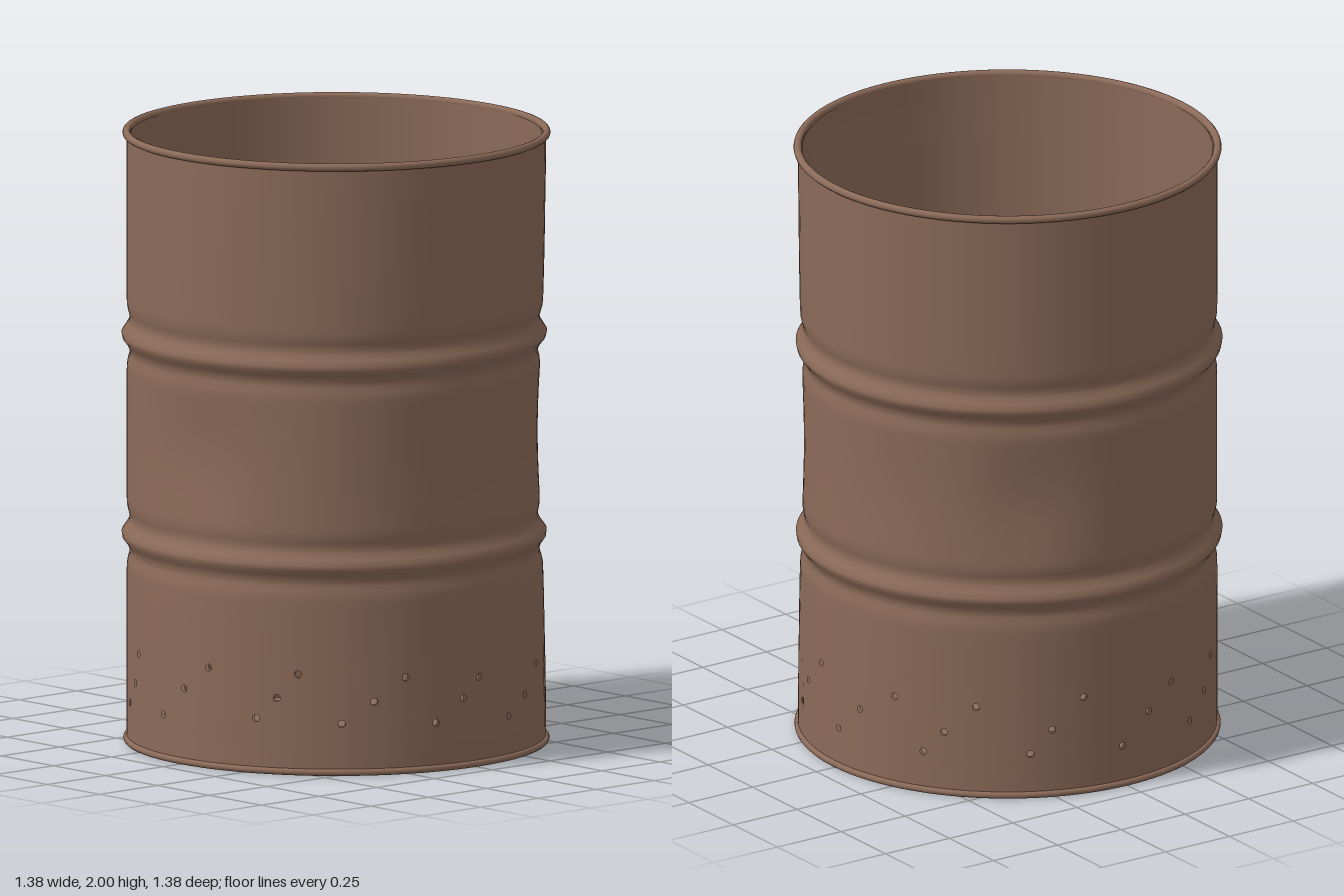
import * as THREE from 'three';
import { mergeGeometries, mergeVertices } from 'three/addons/utils/BufferGeometryUtils.js';

const COLS = 120, R = 0.675, BAND = [0.1, 0.37], TOP = 1.985;

// Vent holes: angle from the front (towards +x), height
const HOLES = [
  [-1.53, 0.25], [-1.37, 0.33], [-1.11, 0.18], [-1.0, 0.25], [-0.92, 0.33], [-0.73, 0.17],
  [-0.57, 0.24], [-0.4, 0.315], [-0.25, 0.16], [-0.1, 0.23], [0.04, 0.29], [0.24, 0.145],
  [0.38, 0.2], [0.55, 0.285], [0.7, 0.175], [0.85, 0.245], [1.02, 0.3], [1.17, 0.14],
  [1.3, 0.235], [1.42, 0.33], [1.61, 0.14], [1.77, 0.235], [1.94, 0.31], [2.1, 0.14],
  [2.24, 0.215], [2.38, 0.31], [2.65, 0.15], [2.77, 0.23], [2.88, 0.33], [3.09, 0.14],
  [-3.03, 0.235], [-2.87, 0.31], [-2.7, 0.14], [-2.56, 0.21], [-2.41, 0.305],
  [-2.14, 0.145], [-2.02, 0.22], [-1.94, 0.32], [-1.68, 0.15],
];

// Dents: angle, height, angular spread, vertical spread, depth
const DENTS = [
  [0.2, 1.0, 0.5, 0.42, 0.034],
  [0.75, 1.0, 0.28, 0.2, 0.016],
  [-1.47, 1.0, 0.25, 0.18, 0.025],
  [2.64, 1.0, 0.2, 0.15, 0.022],
  [2.0, 1.0, 0.28, 0.18, 0.012],
];

const bell = (t) => Math.exp(-t * t);

// Wall radius with rolling ribs, grooves beside them, and dents
function radiusAt(a, y) {
  let r = R;
  for (const rib of [0.68, 1.33]) {
    const d = Math.abs(y - rib);
    r += 0.018 * bell(d / 0.024) - 0.01 * bell((d - 0.055) / 0.026);
  }
  const fade = Math.min(1, Math.max(0, (TOP - y) / 0.2)) * Math.min(1, Math.max(0, (y - 0.02) / 0.3));
  for (const [da, dy, wa, wy, depth] of DENTS) {
    const turn = Math.atan2(Math.sin(a - da), Math.cos(a - da));
    r -= fade * depth * Math.exp(-0.5 * ((turn / wa) ** 2 + ((y - dy) / wy) ** 2));
  }
  return r;
}

// Flat grid over (angle, height), to be rolled up later
function sheet(y0, y1, rows) {
  return new THREE.PlaneGeometry(2 * Math.PI, y1 - y0, COLS, rows).translate(0, (y0 + y1) / 2, 0);
}

// Strips of the perforated band, each with the holes that fall in it
function perforatedBand() {
  const step = (2 * Math.PI) / COLS;
  return Array.from({ length: COLS }, (_, i) => {
    const a0 = -Math.PI + i * step, a1 = a0 + step, mid = a0 + step / 2;
    const strip = new THREE.Shape([
      new THREE.Vector2(a0, BAND[0]), new THREE.Vector2(a1, BAND[0]),
      new THREE.Vector2(a1, BAND[1]), new THREE.Vector2(a0, BAND[1]),
    ]);
    for (const [a, y] of HOLES) {
      if (a < a0 || a >= a1) continue;
      strip.holes.push(new THREE.Path().absellipse(mid, y, 0.012 / R, 0.012, 0, 2 * Math.PI, true));
    }
    return new THREE.ShapeGeometry(strip, 5);
  });
}

// Roll the flat sheet into a wall, set in by a given amount
function wallGeometry(inset) {
  const flat = mergeGeometries([sheet(0.012, BAND[0], 3), ...perforatedBand(), sheet(BAND[1], TOP, 92)]);
  flat.deleteAttribute('uv');
  flat.deleteAttribute('normal');
  const p = flat.attributes.position;
  for (let i = 0; i < p.count; i++) {
    const a = p.getX(i), y = p.getY(i), r = radiusAt(a, y) - inset;
    p.setXYZ(i, r * Math.sin(a), y, r * Math.cos(a));
  }
  const wall = mergeVertices(flat, 1e-4);
  wall.computeVertexNormals();
  return wall;
}

export function createModel() {
  const model = new THREE.Group();
  model.name = 'barrel';
  const rust = new THREE.MeshStandardMaterial({ color: 0x8b6a58, side: THREE.DoubleSide });
  rust.name = 'rusty brown';

  const add = (name, geometry, y = 0) => {
    const mesh = new THREE.Mesh(geometry, rust);
    mesh.name = name;
    mesh.position.y = y;
    model.add(mesh);
    return mesh;
  };

  // Ribbed, dented shell
  add('outerWall', wallGeometry(0));
  add('innerWall', wallGeometry(0.014));

  // Rolled rims
  const rim = (radius, tube) => new THREE.TorusGeometry(radius, tube, 12, COLS).rotateX(Math.PI / 2);
  add('topRim', rim(0.676, 0.013), 1.987);
  add('bottomRim', rim(0.675, 0.011), 0.011);

  // Recessed floor with a sloped edge below
  add('floor', new THREE.CircleGeometry(0.665, COLS).rotateX(-Math.PI / 2), 0.03);
  add('floorEdge', new THREE.CylinderGeometry(0.63, 0.67, 0.022, COLS, 1, true), 0.018);

  return model;
}
